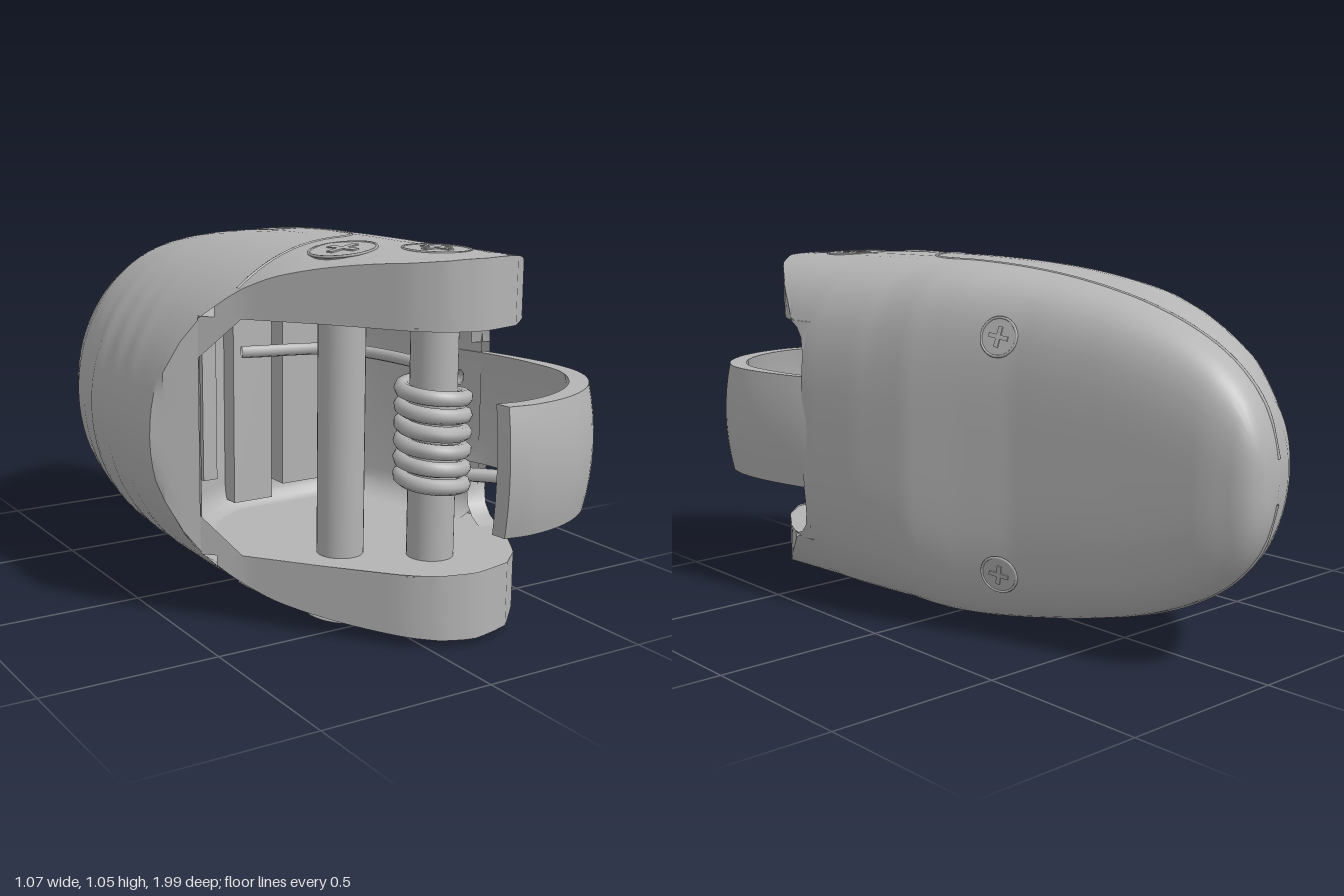
import * as THREE from 'three';
import { toCreasedNormals } from 'three/addons/utils/BufferGeometryUtils.js';

const grey = new THREE.MeshStandardMaterial({ color: 0xb4b4b4, side: THREE.DoubleSide });
grey.name = 'grey plastic';

// Linear lookup in a list of [z, value]
function lookup(table, z) {
  if (z <= table[0][0]) return table[0][1];
  for (let i = 1; i < table.length; i++) {
    const [a, va] = table[i - 1], [b, vb] = table[i];
    if (z <= b) return va + (vb - va) * (z - a) / (b - a);
  }
  return table[table.length - 1][1];
}

// Plan of the housing as [z, x]: widest lines, crest line and front cuts
const MID = 0.52, OPEN = 0.635;
const rightLine = [[-1, 0.04], [-0.99, 0.075], [-0.97, 0.1], [-0.88, 0.14], [-0.63, 0.205], [-0.33, 0.285],
  [-0.18, 0.345], [-0.03, 0.41], [0.15, 0.455], [0.35, 0.49]];
const leftLine = [[-1, 0.04], [-0.99, -0.03], [-0.93, -0.16], [-0.78, -0.31], [-0.6, -0.42], [-0.45, -0.48],
  [-0.25, -0.52], [0, -0.535]];
const crest = [[-1, 0.04], [-0.5, -0.05], [0, 0], [0.4, 0], [0.77, 0.13]];
const rightCut = [[0.35, 0.49], [0.42, 0.47], [0.55, 0.41], [0.68, 0.33], [0.75, 0.25], [0.77, 0.16], [0.775, 0.13]];
const leftCut = [[0.17, -0.6], [0.18, -0.535], [0.25, -0.42], [0.33, -0.33], [0.7, -0.04], [0.75, 0.03],
  [0.77, 0.1], [0.775, 0.13]];
// Roundness of the right side: flatter towards the back
const rightPower = [[-1, 2.4], [-0.6, 3.8], [-0.15, 4.2], [0.1, 3.3]];

const power = (z, side) => side > 0 ? lookup(rightPower, z) : 2;
const halfWidth = (z, side) => Math.abs(lookup(side > 0 ? rightLine : leftLine, z) - lookup(crest, z));

function halfHeight(z) {
  if (z > 0.2) return MID - 0.012 * ((z - 0.2) / 0.57) ** 2;
  return MID * Math.max(0, 1 - ((0.2 - z) / 1.2) ** 2.4) ** (1 / 2.4);
}

// Superellipse: the other coordinate for t, both from 0 to 1
const arc = (t, n) => Math.max(0, 1 - t ** n) ** (1 / n);

// Housing surface: x on one side at depth z and relative height u (-1 to 1)
function surfaceX(z, u, side) {
  let x = lookup(crest, z) + side * halfWidth(z, side) * arc(Math.abs(u), power(z, side));
  // finger ripples on the left cover
  if (side < 0 && z > -0.45 && z < 0.12) {
    x += 0.004 * Math.sin((z + 0.45) * 50 + u * u * 3) * Math.max(0, 1 - u * u * 1.4) * Math.sin((z + 0.45) / 0.57 * Math.PI);
  }
  return Math.min(Math.max(x, lookup(leftCut, z)), lookup(rightCut, z));
}

function surfaceTop(x, z) {
  const side = x >= lookup(crest, z) ? 1 : -1;
  const t = Math.min(1, Math.abs(x - lookup(crest, z)) / halfWidth(z, side));
  return halfHeight(z) * arc(t, power(z, side));
}

// Relative heights of one side at depth z, with a level exactly on the edge of the front cut
function levels(z, side) {
  const t = Math.abs(lookup(side > 0 ? rightCut : leftCut, z) - lookup(crest, z)) / halfWidth(z, side);
  const edge = t < 1 ? arc(t, power(z, side)) : OPEN / 2;
  const low = edge < OPEN ? edge : OPEN / 2, high = Math.max(edge, OPEN), list = [];
  for (let i = 0; i < 4; i++) list.push(low * i / 4);
  for (let i = 0; i < 4; i++) list.push(low + (OPEN - low) * i / 4);
  for (let i = 0; i < 3; i++) list.push(OPEN + (high - OPEN) * i / 3);
  for (let i = 0; i <= 12; i++) list.push(high + (1 - high) * Math.sin(i / 24 * Math.PI));
  return [...list.slice(1).map(u => -u).reverse(), ...list];
}

// Surface through rows of [x, y, z] points, leaving out the quads that skip(row, column) names
function gridSurface(rows, skip = () => false) {
  const idx = [], n = rows[0].length;
  for (let i = 0; i < rows.length - 1; i++) {
    for (let j = 0; j < n - 1; j++) {
      const a = i * n + j, b = a + 1, c = a + n, d = c + 1;
      if (!skip(i, j)) idx.push(a, b, d, a, d, c);
    }
  }
  const g = new THREE.BufferGeometry();
  g.setAttribute('position', new THREE.Float32BufferAttribute(rows.flat(2), 3));
  g.setIndex(idx);
  return toCreasedNormals(g, 0.6);
}

// Outer shell, lofted along z and left open at the front and in the lever slot
function shellGeometry() {
  const zs = [-1, -0.997, -0.99, -0.98, -0.965, -0.945, -0.915];
  for (let z = -0.88; z < 0.16; z += 0.025) zs.push(z);
  zs.push(0.17, 0.18, 0.2, 0.225, 0.25, 0.28, 0.305, 0.33, 0.36);
  for (let z = 0.385; z < 0.74; z += 0.025) zs.push(z);
  zs.push(0.75, 0.76, 0.77, 0.775);
  const rings = zs.map(z => [...levels(z, 1).map(u => [u, 1]), ...levels(z, -1).reverse().map(u => [u, -1])]);
  const rows = zs.map((z, i) => rings[i].map(([u, side]) => [surfaceX(z, u, side), MID + u * halfHeight(z), z]));
  return gridSurface(rows, (i, j) => {
    const [u, side] = rings[i][j];
    return Math.max(Math.abs(u), Math.abs(rings[i][j + 1][0])) < OPEN + 1e-6 && zs[i] >= (side > 0 ? 0.359 : 0.249);
  });
}

// Extrude a plan outline of [x, z] points between two heights, optionally crowned at mid height
function planSlab(points, y0, y1, crown = 0) {
  const shape = new THREE.Shape(points.map(([x, z]) => new THREE.Vector2(x, -z)));
  const g = new THREE.ExtrudeGeometry(shape, { depth: y1 - y0, bevelEnabled: false, steps: crown ? 8 : 1 });
  g.rotateX(-Math.PI / 2).translate(0, y0, 0);
  const p = g.attributes.position;
  for (let i = 0; i < p.count; i++) {
    const k = 1 - crown * (2 * (p.getY(i) - y0) / (y1 - y0) - 1) ** 2;
    p.setX(i, 0.2 + (p.getX(i) - 0.2) * k);
    p.setZ(i, 0.55 + (p.getZ(i) - 0.55) * k);
  }
  return toCreasedNormals(g, 0.6);
}

function smooth(points, count) {
  const curve = new THREE.CatmullRomCurve3(points.map(([x, z]) => new THREE.Vector3(x, 0, z)));
  return curve.getPoints(count).map(p => [p.x, p.z]);
}

export function createModel() {
  const model = new THREE.Group();
  const add = (name, geometry, parent = model) => {
    const m = new THREE.Mesh(geometry, grey);
    m.name = name;
    parent.add(m);
  };
  const tube = (name, pts, r, seg = 40) => add(name, new THREE.TubeGeometry(
    new THREE.CatmullRomCurve3(pts.map(p => new THREE.Vector3(...p))), seg, r, 8));

  add('housing', shellGeometry());

  // Cavity wall, rounded into the floor and ceiling
  const wall = [[-0.415, 0.25], [-0.4, 0.17], [-0.36, 0.06], [-0.28, -0.03], [-0.16, -0.1],
    [0.22, -0.1], [0.29, -0.07], [0.34, 0.02], [0.4, 0.18], [0.455, 0.36]];
  const wallRows = [];
  for (let k = -6; k <= 6; k++) {
    const a = (Math.abs(k) - 1) / 5 * Math.PI / 2, inward = k ? 0.08 * (1 - Math.cos(a)) : 0;
    const v = Math.sign(k) * (0.25 + 0.08 * Math.sin(a));
    wallRows.push(wall.map(([x, z]) => [x * (1 - inward / 0.42), MID + v, z + (z < 0.2 ? inward * 0.6 : 0)]));
  }
  add('cavityWall', gridSurface(wallRows));

  // Flat inner faces of the two ears
  const front = [...[0.42, 0.5, 0.55, 0.62, 0.68, 0.72, 0.75, 0.77].map(z => [surfaceX(z, OPEN, 1), z]),
    ...[0.77, 0.75, 0.7, 0.33].map(z => [surfaceX(z, OPEN, -1), z])];
  for (const [name, y] of [['lowerEarFace', 0.188], ['upperEarFace', 0.848]]) {
    add(name, planSlab([...wall, ...front], y, y + 0.004));
  }

  for (const s of [-1, 1]) {
    // Corner webs on the left rim
    const at = (x, v, z) => [x, MID + s * v, z];
    add('rimWeb', gridSurface([[at(-0.42, 0.22, 0.25), at(-0.42, 0.33, 0.25)], [at(-0.335, 0.33, 0.325), at(-0.33, 0.33, 0.33)]]));
    // Rounded ends of the lever slot: outer face and fillet
    const curve = [[0.36, 0.2], [0.366, 0.245], [0.383, 0.285], [0.415, 0.312], [0.47, 0.33]];
    const skin = (z, v) => surfaceX(z, v / halfHeight(z), 1);
    add('slotCorner', gridSurface([
      curve.map(([z]) => at(skin(z, 0.33), 0.33, z)),
      curve.map(([z, v]) => at(skin(z, v), v, z)),
      curve.map(([z, v]) => at(skin(z, v) - 0.06, v, z - 0.01)),
    ]));
  }

  // Inner fittings on the back of the cavity
  const box = (name, w, h, d, x, y, z) => add(name, new THREE.BoxGeometry(w, h, d).translate(x, y, z));
  box('innerBlock', 0.26, 0.5, 0.1, 0.12, 0.52, -0.05);
  box('innerRail', 0.13, 0.6, 0.06, -0.09, 0.52, -0.07);
  box('innerRib', 0.045, 0.41, 0.06, -0.262, 0.525, -0.02);

  // Two cross pins with slotted heads on both ears
  const screw = (name, p, normal, r, slotted) => {
    const g = new THREE.Group();
    g.name = name;
    add('head', new THREE.CylinderGeometry(r * 0.93, r * 0.93, 0.02, 32).translate(0, -0.009, 0), g);
    add('rim', new THREE.TorusGeometry(r * 0.96, 0.004, 6, 32).rotateX(Math.PI / 2), g);
    if (slotted) {
      for (const turn of [0.2, 0.2 + Math.PI / 2]) {
        add('slot', new THREE.BoxGeometry(r * 1.05, 0.006, r * 0.22).rotateY(turn).translate(0, 0.002, 0), g);
      }
    }
    g.position.set(...p);
    g.quaternion.setFromUnitVectors(new THREE.Vector3(0, 1, 0), new THREE.Vector3(...normal).normalize());
    model.add(g);
  };
  for (const [x, z, tilt] of [[-0.08, 0.43, -0.13], [0.12, 0.575, 0.02]]) {
    add('crossPin', new THREE.CylinderGeometry(0.065, 0.065, 0.68, 32).translate(x, MID, z));
    const v = surfaceTop(x, z) - 0.002;
    screw('upperPinHead', [x, MID + v, z], [tilt, 1, 0.02], 0.095, true);
    screw('lowerPinHead', [x, MID - v, z], [tilt, -1, 0.02], 0.095, false);
  }
  for (const s of [-1, 1]) {
    const u = s * 0.33 / halfHeight(-0.29);
    screw('sideScrew', [surfaceX(-0.29, u, 1) + 0.003, MID + s * 0.33, -0.29], [1, s * 0.25, -0.4], 0.055, true);
  }

  // Return spring around the front pin, with its two straight ends
  const coil = [];
  for (let i = 0; i <= 96; i++) {
    const a = i / 16 * Math.PI * 2;
    coil.push([0.12 + 0.085 * Math.cos(a), 0.39 + 0.29 * i / 96, 0.575 + 0.085 * Math.sin(a)]);
  }
  tube('spring', coil, 0.022, 240);
  tube('springUpperEnd', [[0.205, 0.68, 0.575], [0.2, 0.69, 0.4], [0.12, 0.69, 0.1], [-0.15, 0.69, 0]], 0.018);
  tube('springLowerEnd', [[0.12, 0.39, 0.49], [0.2, 0.4, 0.54], [0.345, 0.4, 0.675]], 0.02);

  // Curved thumb lever
  const outer = smooth([[0.445, 0.22], [0.478, 0.31], [0.508, 0.42], [0.533, 0.6], [0.52, 0.72], [0.47, 0.82],
    [0.38, 0.91], [0.26, 0.972], [0.13, 0.995], [0.05, 0.985]], 40);
  const inner = smooth([[0.045, 0.94], [0.13, 0.948], [0.25, 0.922], [0.38, 0.84], [0.47, 0.71], [0.488, 0.58],
    [0.474, 0.4], [0.448, 0.3], [0.42, 0.22]], 40);
  add('lever', planSlab([...outer, ...inner], 0.355, 0.69, 0.05));

  // Raised seam around the left cover, mirrored top and bottom
  const seam = smooth([[-0.03, -0.985], [0, -0.8], [0.06, -0.4], [0.12, 0], [0.13, 0.12], [0.09, 0.21],
    [0, 0.26], [-0.15, 0.285], [-0.33, 0.31]], 50);
  for (const s of [-1, 1]) {
    tube('coverSeam', seam.map(([x, z]) => [x, MID + s * (surfaceTop(x, z) - 0.003), z]), 0.006, 100);
  }
  return model;
}
